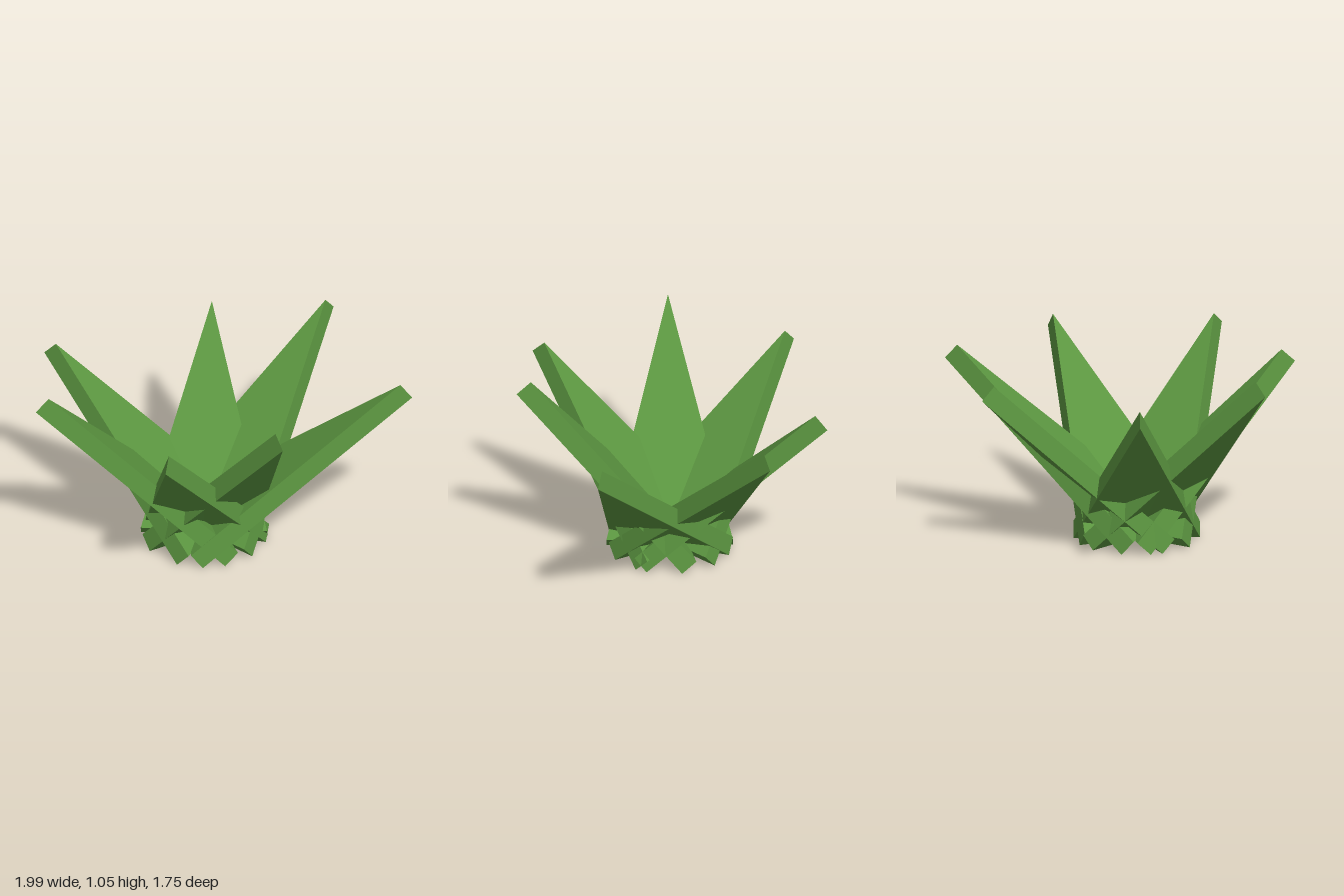
import * as THREE from 'three';

// Lower tip point of each leaf; all leaves spring from one crown point on the ground
const CROWN = new THREE.Vector3(-0.105, 0, 0.015);
const TIPS = [
  [-0.20, 0.92, 0.87],
  [0.40, 0.99, 0.67],
  [0.99, 0.88, -0.10],
  [0.47, 0.92, -0.86],
  [-0.18, 0.86, -0.88],
  [-1.00, 0.88, -0.28],
  [-0.95, 0.97, 0.44],
];
const HALF_WIDTH = 0.335;
const THICKNESS = 0.1;

// Thick triangular blade: base edge on the ground, point at the tip
function makeLeaf(tip, material) {
  const along = new THREE.Vector3(...tip).sub(CROWN);
  const length = along.length();
  along.normalize();
  const side = new THREE.Vector3(0, 1, 0).cross(along).normalize().negate();
  const normal = side.clone().cross(along).normalize(); // upper face, leaning inward

  const shape = new THREE.Shape();
  shape.moveTo(-HALF_WIDTH, 0);
  shape.lineTo(HALF_WIDTH, 0);
  shape.lineTo(0, length);
  shape.closePath();

  const geometry = new THREE.ExtrudeGeometry(shape, { depth: THICKNESS, bevelEnabled: false });
  geometry.applyMatrix4(new THREE.Matrix4().makeBasis(side, along, normal).setPosition(CROWN));
  return new THREE.Mesh(geometry, material);
}

export function createModel() {
  const plant = new THREE.Group();
  plant.name = 'spikyPlant';
  const leafGreen = new THREE.MeshStandardMaterial({ color: 0x5b9540, flatShading: true });
  leafGreen.name = 'leafGreen';

  // Ring of seven leaves
  TIPS.forEach((tip, i) => {
    const leaf = makeLeaf(tip, leafGreen);
    leaf.name = `leaf${i + 1}`;
    plant.add(leaf);
  });
  return plant;
}
